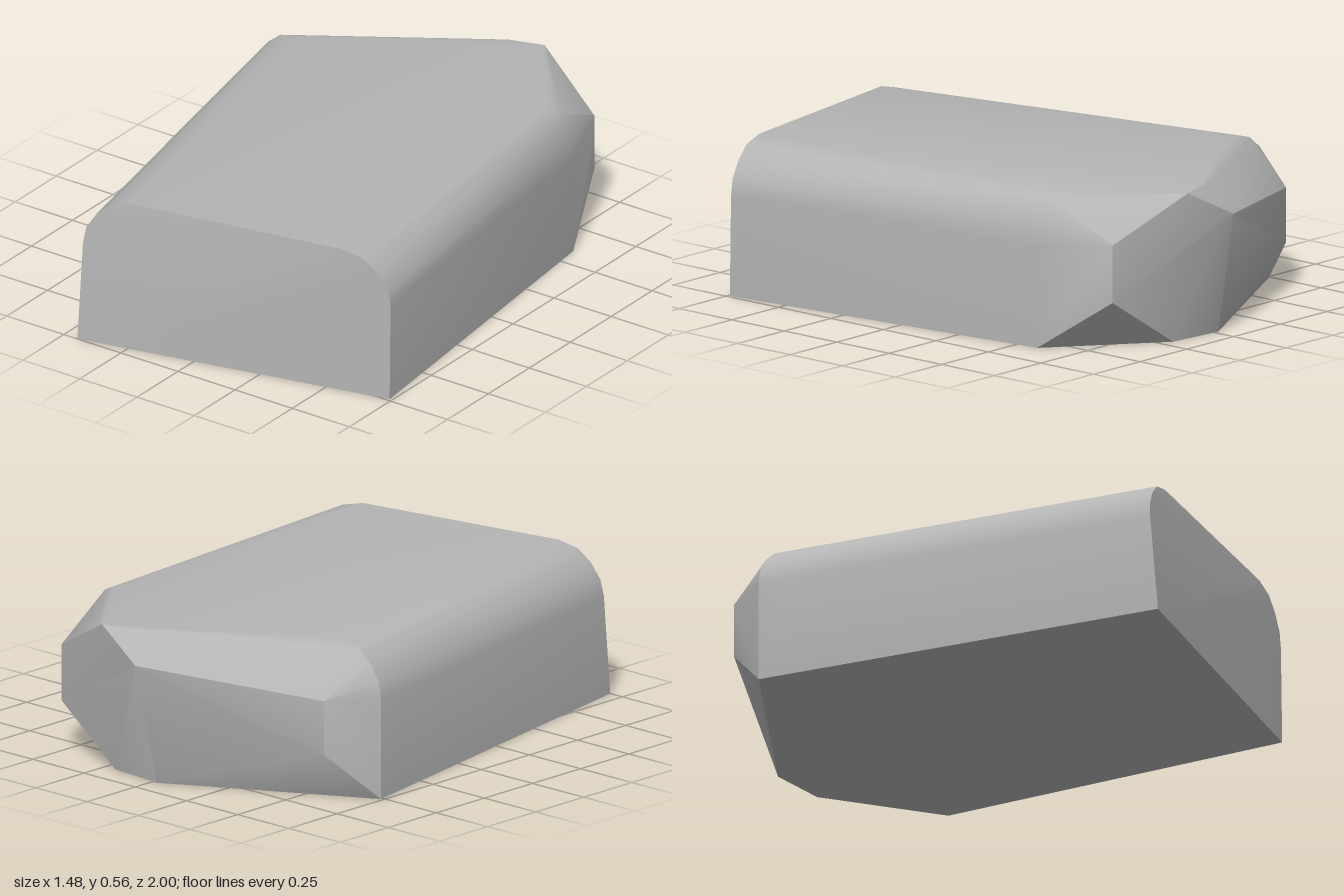
import * as THREE from 'three';
import { ConvexGeometry } from 'three/addons/geometries/ConvexGeometry.js';
import { toCreasedNormals } from 'three/addons/utils/BufferGeometryUtils.js';

// Rounded shoulder profile: [inset from the side, height]
const SHOULDER = [[0, 0], [0, 0.37], [0.01, 0.43], [0.05, 0.49], [0.105, 0.535], [0.19, 0.555]];

export function createModel() {
  const stoneGrey = new THREE.MeshStandardMaterial({ color: 0xb4b4b4 });
  const points = [];
  const add = (x, y, z) => points.push(new THREE.Vector3(x, y, z));

  // One upright corner: the shoulder profile pushed inward, leaning back in z
  const corner = (x, z, dir, scale, slope, lean) => {
    for (const [inset, y] of SHOULDER) {
      const dx = dir * inset * scale;
      add(x + dx, y, z + dx * slope - lean * y);
    }
  };
  corner(-0.44, 1.0, 1, 0.9, -0.2, 0.09);     // front right
  corner(0.74, 0.74, -1, 1, -0.2, 0.015);     // front left
  corner(-0.74, -0.51, 1, 1, 0, 0);           // back right
  corner(0.59, -0.59, -1, 0.55, 0, 0);        // back left
  add(-0.727, 0.37, -0.38);                   // slight bulge of the right side

  // Chipped back end
  add(0.49, 0.19, -0.86);
  add(0.49, 0.40, -0.86);
  add(-0.63, 0.18, -0.69);
  add(-0.63, 0.38, -0.69);
  add(-0.02, 0, -0.91);
  add(0.2, 0, -0.89);
  add(0, 0.45, -1.0);
  add(0.2, 0.555, -0.96);
  add(0.07, 0.555, -0.92);

  const block = new THREE.Mesh(toCreasedNormals(new ConvexGeometry(points), 0.6), stoneGrey);
  block.name = 'stoneBlock';

  const group = new THREE.Group();
  group.name = 'stone';
  group.add(block);
  return group;
}
